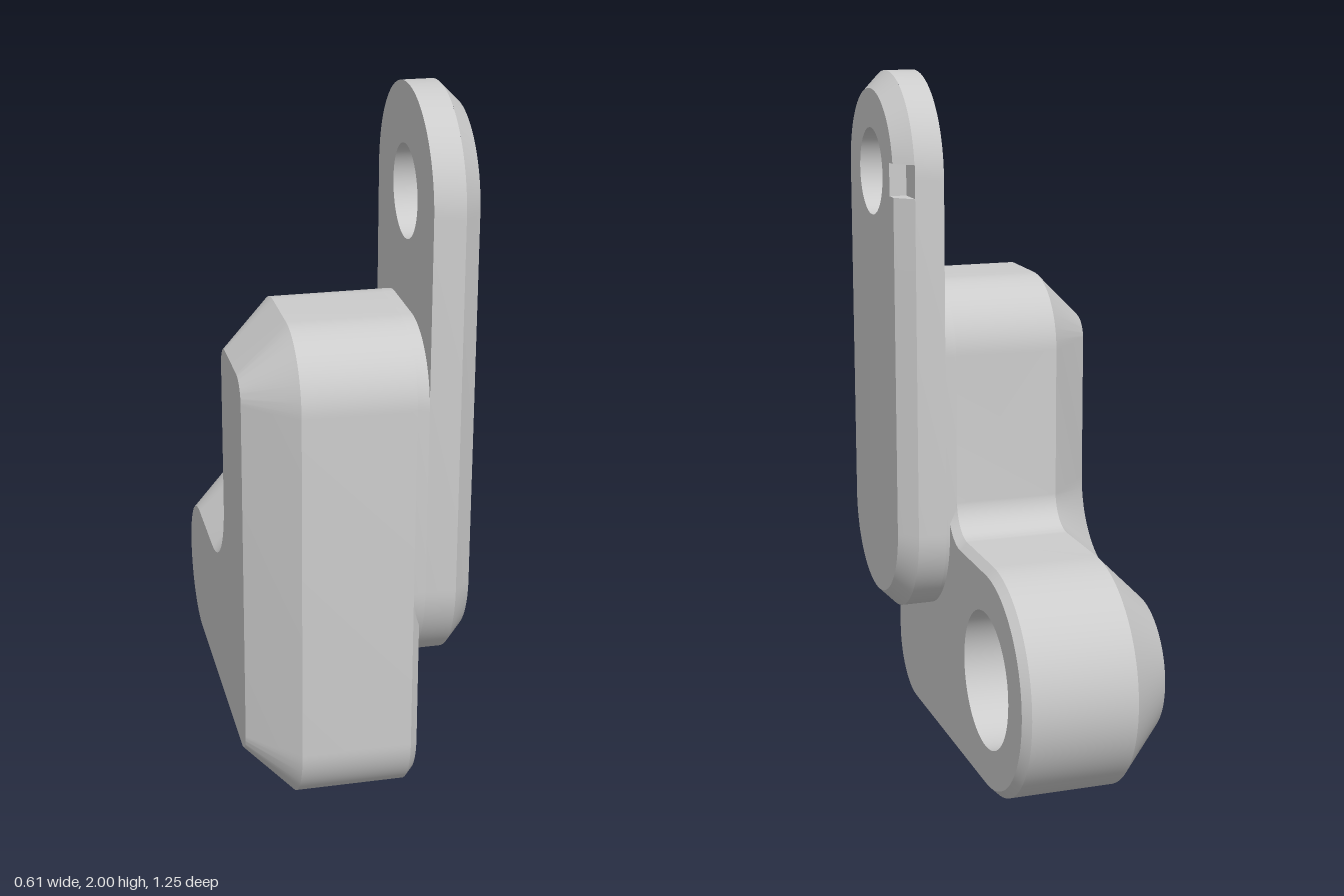
import * as THREE from 'three';
import { mergeGeometries, toCreasedNormals } from 'three/addons/utils/BufferGeometryUtils.js';

// Outlines are drawn in the side plane as [z, y] points, counter-clockwise as seen from -x.
function arc(z, y, r, from, to, n = 20) {
  return Array.from({ length: n + 1 }, (_, i) => {
    const a = THREE.MathUtils.degToRad(from + (to - from) * i / n);
    return [z + r * Math.cos(a), y + r * Math.sin(a)];
  });
}
const circle = (z, y, r) => arc(z, y, r, 0, 360, 64).slice(0, -1);
const reversed = loop => [...loop].reverse();

function makeGeometry(positions, index) {
  const g = new THREE.BufferGeometry();
  g.setAttribute('position', new THREE.Float32BufferAttribute(positions, 3));
  g.setIndex(index);
  return g.toNonIndexed();
}

// Wall through a list of [x, loop] layers ordered from low x to high x
function loft(layers) {
  const pos = [], idx = [], n = layers[0][1].length;
  for (const [x, loop] of layers) for (const [z, y] of loop) pos.push(x, y, z);
  for (let k = 0; k < layers.length - 1; k++) {
    for (let i = 0; i < n; i++) {
      const j = (i + 1) % n, lo = k * n, hi = lo + n;
      idx.push(hi + i, hi + j, lo + j, hi + i, lo + j, lo + i);
    }
  }
  return makeGeometry(pos, idx);
}

// Flat face at x, pointing to +x or -x
function cap(x, loop, towardPlusX, holes = []) {
  const vec = l => l.map(p => new THREE.Vector2(...p));
  const shape = new THREE.Shape(vec(loop));
  shape.holes = holes.map(h => new THREE.Path(vec(h)));
  const flat = new THREE.ShapeGeometry(shape);
  const p = flat.attributes.position, pos = [];
  for (let i = 0; i < p.count; i++) pos.push(x, p.getY(i), p.getX(i));
  const idx = Array.from(flat.index.array);
  return makeGeometry(pos, towardPlusX ? idx.reverse() : idx);
}

// L-shaped block outline, inset by d
function blockLoop(d) {
  return [
    ...arc(0.425, 0.2, 0.2 - d, 270, 360),
    ...arc(0.425, 1.2, 0.2 - d, 0, 90),
    ...arc(0.245, 1.2, 0.2 - d, 90, 180),
    ...arc(-0.055, 0.77, 0.1 + d, 0, -90),
    ...arc(-0.29, 0.335, 0.335 - d, 90, 270, 48),
  ];
}

const PLATE_Z = 0.335, EYE_Y = 1.71, NOTCH = { low: 1.66, high: 1.755, z: 0.135 };

// Plate outline with round ends, optionally notched at its rear edge
function plateLoop(r, notched) {
  const low = arc(PLATE_Z, 0.67, r, 180, 360, 40);
  if (!notched) return [...low, ...arc(PLATE_Z, EYE_Y, r, 0, 180, 40)];
  const a = THREE.MathUtils.radToDeg(Math.asin((NOTCH.high - EYE_Y) / r));
  return [
    ...low, ...arc(PLATE_Z, EYE_Y, r, 0, 180 - a, 40),
    [NOTCH.z, NOTCH.high], [NOTCH.z, NOTCH.low], [PLATE_Z - r, NOTCH.low],
  ];
}

export function createModel() {
  const group = new THREE.Group();
  const material = new THREE.MeshStandardMaterial({ color: 0xcccccc });
  const add = (name, ...parts) => {
    const mesh = new THREE.Mesh(toCreasedNormals(mergeGeometries(parts), 0.5), material);
    mesh.name = name;
    group.add(mesh);
  };

  // L-shaped block: deep chamfer on one side, fine chamfer and bore on the other
  const bore = r => circle(-0.29, 0.335, r);
  add('block',
    cap(-0.305, blockLoop(0.135), false),
    loft([[-0.305, blockLoop(0.135)], [-0.17, blockLoop(0)], [0.138, blockLoop(0)], [0.16, blockLoop(0.022)]]),
    cap(0.16, blockLoop(0.022), true, [bore(0.2)]));

  // Stepped bore in the foot
  add('bore', loft([[-0.12, 0.11], [-0.04, 0.11], [-0.04, 0.2], [0.16, 0.2]]
    .map(([x, r]) => [x, reversed(bore(r))])));

  // Slotted screw head at the bottom of the bore
  const slot = w => [[-0.29 - w, 0.228], [-0.29 + w, 0.228], [-0.29 + w, 0.442], [-0.29 - w, 0.442]];
  add('screwHead',
    cap(-0.12, arc(-0.29, 0.335, 0.11, -79.5, 79.5), true),
    cap(-0.12, arc(-0.29, 0.335, 0.11, 100.5, 259.5), true),
    loft([[-0.16, reversed(slot(0.01))], [-0.12, reversed(slot(0.02))]]),
    cap(-0.16, slot(0.01), true));

  // Pad joining the plate to the block
  const pad = [
    ...arc(PLATE_Z, 0.67, 0.29, 180, 360, 40),
    ...arc(0.425, 1.2, 0.2, 0, 90),
    ...arc(0.245, 1.2, 0.2, 90, 180),
  ];
  add('plateMount', loft([[0.138, pad], [0.17, pad]]));

  // Upright plate with eye hole, chamfered rim and notch
  const eye = circle(PLATE_Z, EYE_Y, 0.127), rim = plateLoop(0.29, false);
  const edge = PLATE_Z - 0.29;
  add('plate',
    cap(0.17, rim, false, [eye]),
    loft([[0.17, rim], [0.255, rim]]),
    loft([[0.255, plateLoop(0.29, true)], [0.305, plateLoop(0.24, true)]]),
    cap(0.305, plateLoop(0.24, true), true, [eye]),
    loft([[0.17, reversed(eye)], [0.305, reversed(eye)]]),
    cap(0.255, [[edge, NOTCH.low], [NOTCH.z, NOTCH.low], [NOTCH.z, NOTCH.high], [edge, NOTCH.high]], true));

  return group;
}
